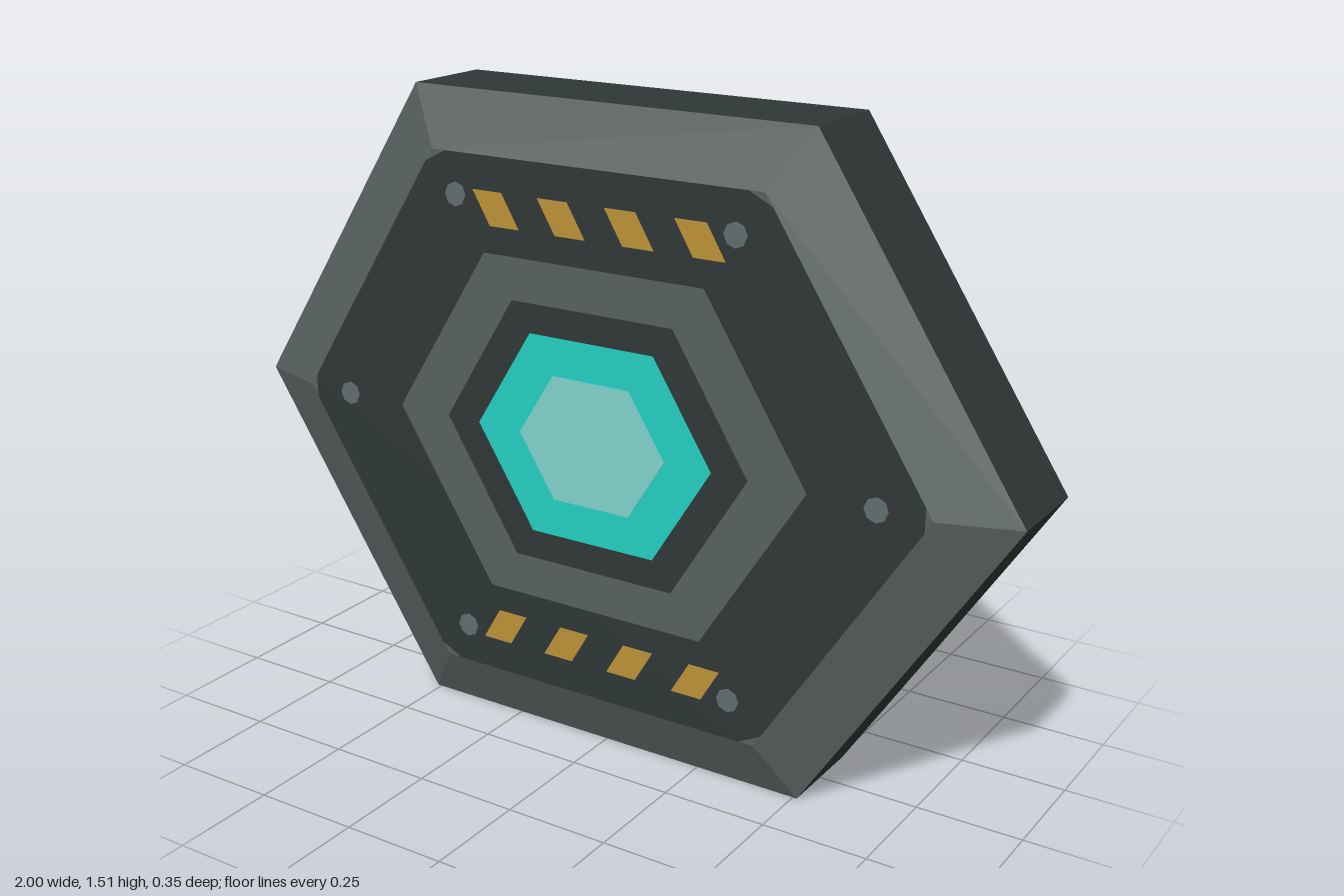
import * as THREE from 'three';

const mat = (name, color) => {
  const m = new THREE.MeshStandardMaterial({ color });
  m.name = name;
  return m;
};

const CENTRE_Y = 0.755;
const FACE_Z = 0.168; // flat of the body; plates sit just above it

// Six corners of a stretched hexagon: tip at w, flat edge from -e to e at height h
const hex = (w, e, h) =>
  [[w, 0], [e, h], [-e, h], [-w, 0], [-e, -h], [e, -h]].map(([x, y]) => new THREE.Vector2(x, y));

// Replace every corner with a short chamfer
const chamfer = (pts, t) => pts.flatMap((p, i) => {
  const prev = pts[(i + pts.length - 1) % pts.length];
  const next = pts[(i + 1) % pts.length];
  return [p.clone().lerp(prev, t), p.clone().lerp(next, t)];
});

// Flat-faced band joining loop a at za to loop b at zb (zb > za)
function bandGeometry(a, za, b, zb) {
  const pos = [];
  a.forEach((p, i) => {
    const j = (i + 1) % a.length;
    const q = [[p, za], [a[j], za], [b[j], zb], [b[i], zb]];
    for (const k of [0, 1, 2, 0, 2, 3]) pos.push(q[k][0].x, q[k][0].y, q[k][1]);
  });
  const g = new THREE.BufferGeometry();
  g.setAttribute('position', new THREE.Float32BufferAttribute(pos, 3));
  g.computeVertexNormals();
  return g;
}

// Thin plate, optionally with a hole, centred on z = 0
function plateGeometry(pts, hole) {
  const shape = new THREE.Shape(pts);
  if (hole) shape.holes.push(new THREE.Path(hole));
  const depth = 0.008;
  return new THREE.ExtrudeGeometry(shape, { depth, bevelEnabled: false }).translate(0, 0, -depth / 2);
}

export function createModel() {
  const dark = mat('dark casing', 0x2f3837);
  const grey = mat('grey metal', 0x586160);
  const steel = mat('blue steel', 0x788389);
  const bolt = mat('bolt metal', 0x626d6f);
  const amber = mat('amber stripe', 0xbc9237);
  const teal = mat('teal glow', 0x24cfc2);
  const pale = mat('pale core', 0x80d4cb);

  const model = new THREE.Group();
  model.name = 'hexagonalDevice';
  const body = new THREE.Group();
  body.name = 'body';
  body.position.y = CENTRE_Y;
  model.add(body);

  const add = (name, geometry, material, x = 0, y = 0, z = 0) => {
    const mesh = new THREE.Mesh(geometry, material);
    mesh.name = name;
    mesh.position.set(x, y, z);
    body.add(mesh);
    return mesh;
  };

  // Outer shell: rim with a sloping border on each side
  const outer = hex(1, 0.51, 0.755);
  const inner = hex(0.825, 0.425, 0.622);
  add('rim', bandGeometry(outer, -0.112, outer, 0.112), dark);
  add('frontBorder', bandGeometry(outer, 0.112, inner, FACE_Z), grey);
  add('backBorder', bandGeometry(inner, -FACE_Z, outer, -0.112), steel);
  add('frontSeat', plateGeometry(inner), grey, 0, 0, FACE_Z - 0.004);
  add('backSeat', plateGeometry(inner), steel, 0, 0, -FACE_Z + 0.004);

  const panel = plateGeometry(chamfer(inner, 0.045));
  const collar = plateGeometry(hex(0.54, 0.285, 0.403), hex(0.4, 0.21, 0.305));
  const socket = plateGeometry(hex(0.402, 0.211, 0.306));
  const lens = plateGeometry(hex(0.31, 0.162, 0.236));
  const core = plateGeometry(hex(0.193, 0.1, 0.147));
  const boltGeo = new THREE.CylinderGeometry(0.028, 0.028, 0.008, 8).rotateX(Math.PI / 2).toNonIndexed();
  boltGeo.computeVertexNormals();

  // Slanted stripe; the lower row leans the other way
  const stripe = (s) => plateGeometry([
    new THREE.Vector2(-0.062, 0.039 * s), new THREE.Vector2(-0.016, -0.039 * s),
    new THREE.Vector2(0.062, -0.039 * s), new THREE.Vector2(0.016, 0.039 * s),
  ]);
  const stripes = { 1: stripe(1), '-1': stripe(-1) };

  for (const side of [1, -1]) {
    const label = side > 0 ? 'front' : 'back';
    // Height of each layer above the flat of the body
    const at = (lift) => side * (FACE_Z - 0.004 + lift);

    add(label + 'Panel', panel, side > 0 ? dark : grey, 0, 0, at(0.0015));
    if (side > 0) add('frontCollar', collar, grey, 0, 0, at(0.0035));
    add(label + 'Socket', socket, dark, 0, 0, at(0.003));
    add(label + 'Lens', lens, teal, 0, 0, at(0.0045));
    add(label + 'Core', core, pale, 0, 0, at(0.006));

    for (const row of [1, -1]) {
      for (let i = 0; i < 4; i++) {
        add(label + 'Stripe', stripes[row], amber, -0.25 + i * 0.175, row * 0.505, at(0.003));
      }
    }
    for (const [x, y] of [[0.36, 0.527], [0.36, -0.527], [0.7, 0]]) {
      for (const mx of [1, -1]) {
        add(label + 'Bolt', boltGeo, side > 0 ? bolt : grey, x * mx, y, at(0.005));
      }
    }
  }
  return model;
}
